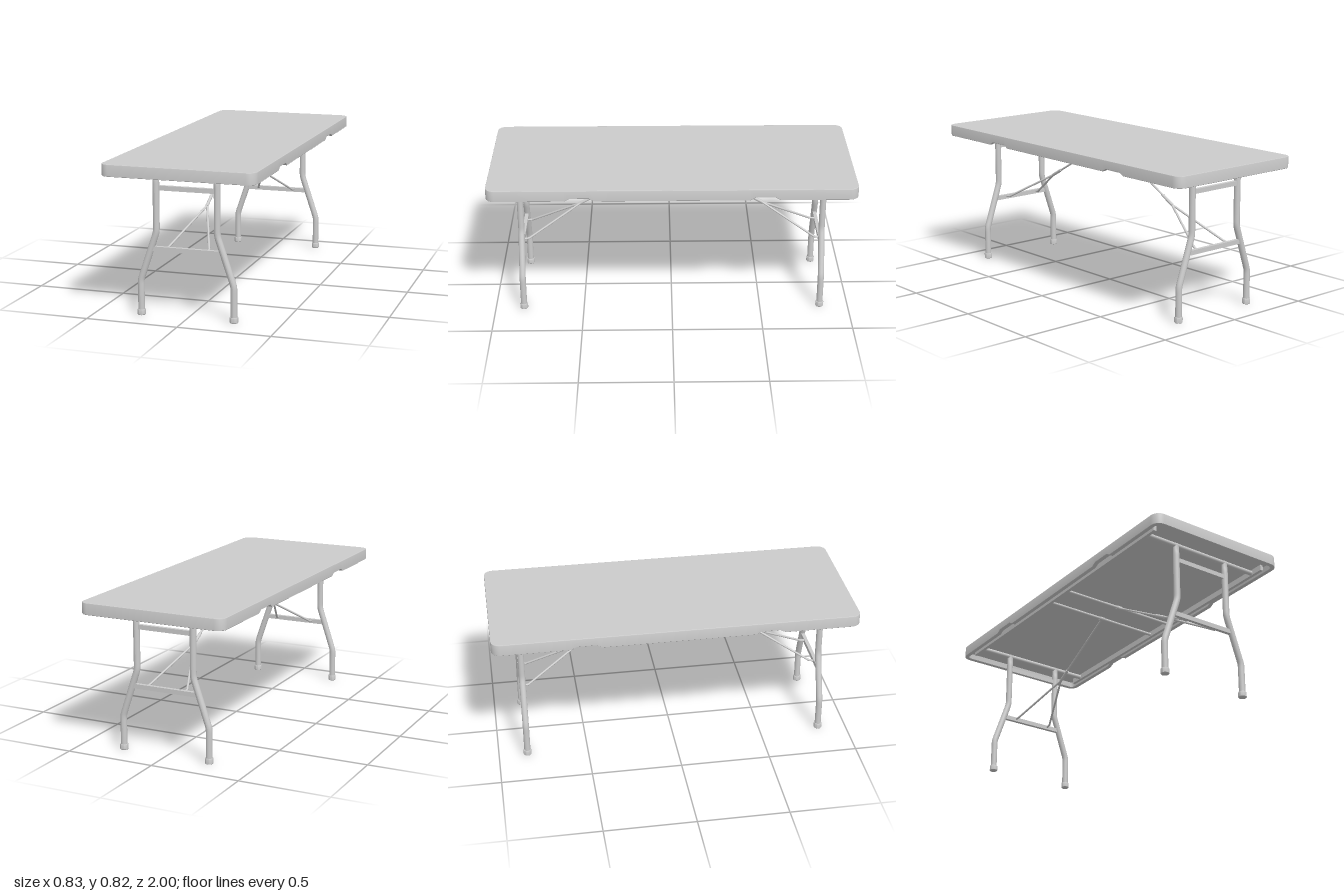
import * as THREE from 'three';
import { toCreasedNormals } from 'three/addons/utils/BufferGeometryUtils.js';

const material = new THREE.MeshStandardMaterial({ color: 0xcccccc });
const V = (x, y, z) => new THREE.Vector3(x, y, z);
const TOP = 0.823, PANEL = 0.793, RIM = 0.76, LEG_Z = 0.84;

function add(parent, name, geometry, x = 0, y = 0, z = 0) {
  const mesh = new THREE.Mesh(geometry, material);
  mesh.name = name;
  mesh.position.set(x, y, z);
  parent.add(mesh);
  return mesh;
}

// Straight round bar between two points
function rod(parent, name, a, b, radius, endRadius = radius) {
  const dir = b.clone().sub(a);
  const mesh = add(parent, name, new THREE.CylinderGeometry(endRadius, radius, dir.length(), 16));
  mesh.position.copy(a).addScaledVector(dir, 0.5);
  mesh.quaternion.setFromUnitVectors(V(0, 1, 0), dir.normalize());
  return mesh;
}

// Rounded outline of the top, inset from the edge, with stations at the hand notches
function outline(inset) {
  const hx = 0.415, hz = 1, r = 0.05, pts = [];
  const corner = (sx, sz, start) => {
    for (let i = 0; i <= 8; i++) {
      const a = start + (i / 8) * Math.PI / 2;
      pts.push([sx * (hx - r) + (r - inset) * Math.cos(a), sz * (hz - r) + (r - inset) * Math.sin(a)]);
    }
  };
  const stations = [-0.58, -0.55, -0.445, -0.417, 0.417, 0.445, 0.55, 0.58];
  corner(1, 1, 0);
  corner(-1, 1, Math.PI / 2);
  [...stations].reverse().forEach(z => pts.push([-hx + inset, z]));
  corner(-1, -1, Math.PI);
  corner(1, -1, Math.PI * 1.5);
  stations.forEach(z => pts.push([hx - inset, z]));
  return pts;
}

// Hollow moulded top: a rim section swept round the outline, closed by two flat panels
function tabletop(parent) {
  const section = [[0.004, TOP], [0.001, TOP - 0.001], [0, TOP - 0.004], [0, RIM + 0.002],
    [0.002, RIM], [0.022, RIM], [0.024, RIM + 0.002], [0.026, PANEL]];
  const positions = [], index = [];
  section.forEach(([inset, y]) => outline(inset).forEach(([x, z]) => {
    const notched = Math.abs(x) > 0.38 && Math.abs(z) > 0.43 && Math.abs(z) < 0.56 && y < 0.77;
    positions.push(x, y + (notched ? 0.016 : 0), z);
  }));
  const n = outline(0).length;
  for (let k = 0; k < section.length - 1; k++) for (let i = 0; i < n; i++) {
    const a = k * n + i, b = k * n + (i + 1) % n;
    index.push(a, b, a + n, b, b + n, a + n);
  }
  const rim = new THREE.BufferGeometry();
  rim.setAttribute('position', new THREE.Float32BufferAttribute(positions, 3));
  rim.setIndex(index);
  add(parent, 'tabletopRim', toCreasedNormals(rim, 0.6));

  const panel = inset => new THREE.ShapeGeometry(
    new THREE.Shape(outline(inset).map(([x, z]) => new THREE.Vector2(x, z))));
  add(parent, 'tabletopSurface', panel(0.004).rotateX(-Math.PI / 2), 0, TOP, 0);
  add(parent, 'tabletopUnderside', panel(0.026).rotateX(Math.PI / 2), 0, PANEL, 0);
}

// Bent leg tube with a flattened top end
function legGeometry(s) {
  const path = new THREE.CurvePath();
  const line = (a, b) => path.add(new THREE.LineCurve3(a, b));
  const bend = (a, b, c) => path.add(new THREE.QuadraticBezierCurve3(a, b, c));
  const p = (x, y) => V(s * x, y, 0);
  line(p(0.255, 0.01), p(0.255, 0.175));
  bend(p(0.255, 0.175), p(0.255, 0.192), p(0.249, 0.209));
  line(p(0.249, 0.209), p(0.172, 0.436));
  bend(p(0.172, 0.436), p(0.166, 0.455), p(0.166, 0.475));
  line(p(0.166, 0.475), p(0.166, 0.785));
  const geometry = new THREE.TubeGeometry(path, 72, 0.0175, 20);
  const pos = geometry.attributes.position;
  for (let i = 0; i < pos.count; i++) {
    const t = THREE.MathUtils.smoothstep(pos.getY(i), 0.72, 0.75);
    pos.setZ(i, pos.getZ(i) * (1 - 0.22 * t));
  }
  geometry.computeVertexNormals();
  return geometry;
}

// One folding leg frame with its brace, built for the +z end
function legFrame(name) {
  const frame = new THREE.Group();
  frame.name = name;
  for (const s of [1, -1]) {
    add(frame, 'leg', legGeometry(s), 0, 0, LEG_Z);
    const cap = [[0, 0], [0.02, 0], [0.0225, 0.003], [0.0225, 0.027], [0.021, 0.031], [0.017, 0.031]];
    add(frame, 'footCap', toCreasedNormals(new THREE.LatheGeometry(
      cap.map(([r, y]) => new THREE.Vector2(r, y)), 24), 0.6), s * 0.255, 0, LEG_Z);
  }
  add(frame, 'upperCrossbar', new THREE.BoxGeometry(0.31, 0.025, 0.02), 0, 0.687, LEG_Z);
  add(frame, 'lowerCrossbar', new THREE.BoxGeometry(0.37, 0.025, 0.02), 0, 0.363, LEG_Z);
  rod(frame, 'legPivotBar', V(-0.365, 0.776, LEG_Z), V(0.365, 0.776, LEG_Z), 0.0135);

  // Forked brace running up to the middle of the underside
  const joint = V(0, 0.535, 0.514);
  for (const s of [1, -1]) {
    const foot = V(s * 0.11, 0.37, 0.805);
    rod(frame, 'braceFork', foot, joint, 0.006);
    rod(frame, 'braceForkEnd', foot, V(s * 0.113, 0.365, LEG_Z), 0.006);
    add(frame, 'braceForkElbow', new THREE.SphereGeometry(0.006, 12, 8), foot.x, foot.y, foot.z);
  }
  rod(frame, 'braceSleeve', V(0, 0.533, 0.518), V(0, 0.575, 0.442), 0.0085);
  rod(frame, 'braceRod', joint, V(0, 0.772, 0.088), 0.0055);
  rod(frame, 'bracePivotBar', V(-0.365, 0.775, 0.085), V(0.365, 0.775, 0.085), 0.009);
  add(frame, 'braceCollar', new THREE.CylinderGeometry(0.012, 0.012, 0.03, 16).rotateZ(Math.PI / 2), 0, 0.775, 0.085);
  return frame;
}

export function createModel() {
  const table = new THREE.Group();
  table.name = 'foldingTable';
  tabletop(table);

  // Long rails under the top
  for (const s of [1, -1]) {
    add(table, 'sideRail', new THREE.BoxGeometry(0.018, 0.032, 1.84), s * 0.365, 0.777, 0);
  }

  const front = legFrame('frontLegFrame');
  const back = legFrame('backLegFrame');
  back.rotation.y = Math.PI;
  table.add(front, back);
  return table;
}
